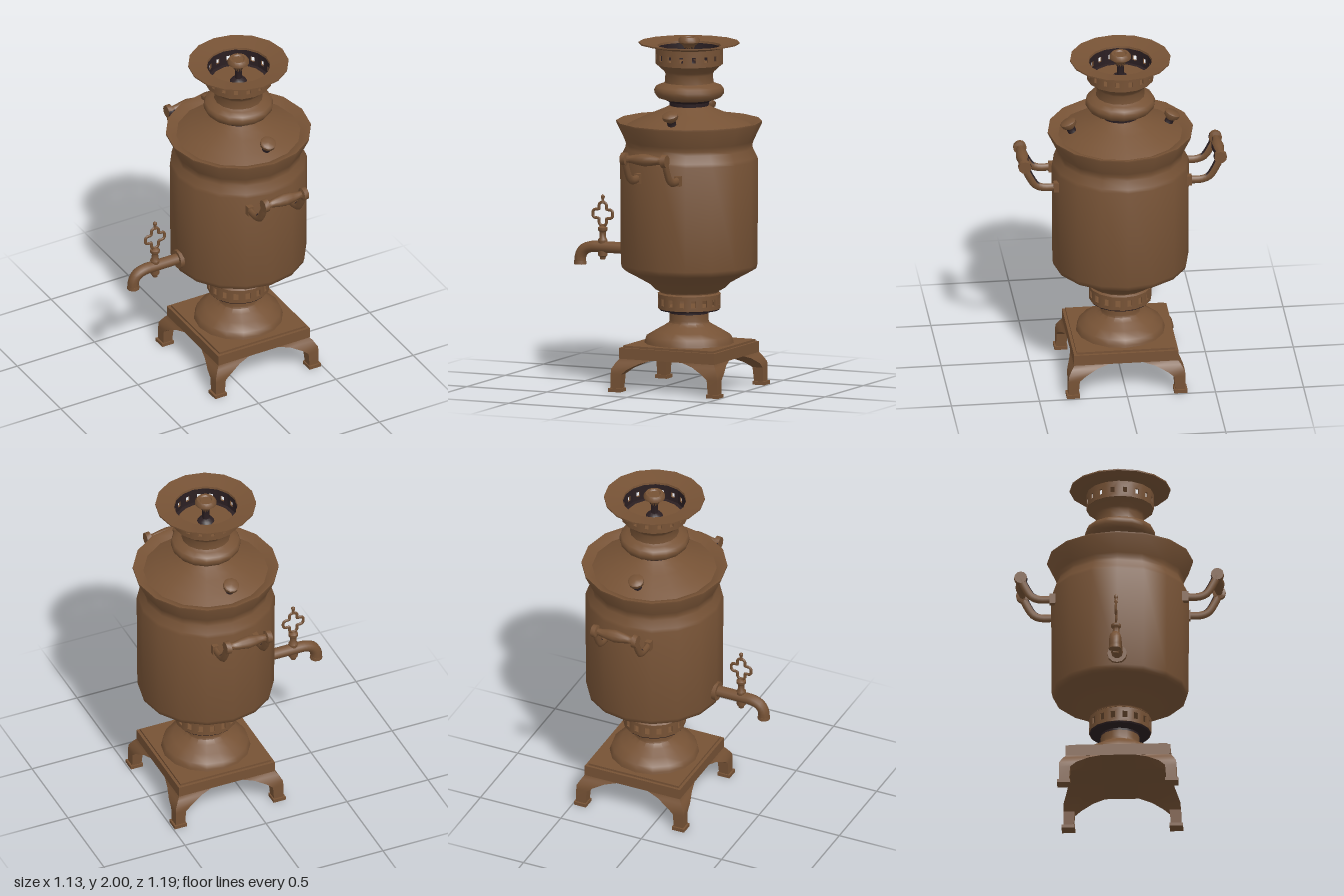
import * as THREE from 'three';
import { toCreasedNormals, mergeGeometries } from 'three/addons/utils/BufferGeometryUtils.js';

const SIDES = 16;
const brass = new THREE.MeshStandardMaterial({ color: 0x765235, side: THREE.DoubleSide });
brass.name = 'brown brass';
const soot = new THREE.MeshStandardMaterial({ color: 0x2b1f22, side: THREE.DoubleSide });
soot.name = 'dark soot';

const V = (x, y, z) => new THREE.Vector3(x, y, z);
const outline2D = pairs => pairs.map(p => new THREE.Vector2(...p));

function part(parent, name, geometry, x = 0, y = 0, z = 0) {
  const mesh = new THREE.Mesh(geometry, geometry.userData.twoTone ? [brass, soot] : brass);
  mesh.name = name;
  mesh.position.set(x, y, z);
  parent.add(mesh);
  return mesh;
}

// Gives the dark colour to every face for which isDark(centre, normal) holds
function twoTone(source, isDark) {
  const g = source.index ? source.toNonIndexed() : source;
  const pos = g.getAttribute('position');
  const tri = new THREE.Triangle(), centre = V(0, 0, 0), normal = V(0, 0, 0);
  g.clearGroups();
  for (let i = 0; i < pos.count; i += 3) {
    tri.setFromAttributeAndIndices(pos, i, i + 1, i + 2);
    const tone = isDark(tri.getMidpoint(centre), tri.getNormal(normal)) ? 1 : 0;
    const last = g.groups[g.groups.length - 1];
    if (last && last.materialIndex === tone) last.count += 3;
    else g.addGroup(i, 3, tone);
  }
  g.userData.twoTone = true;
  return g;
}

// Turned part from [radius, height] pairs, listed bottom to top
function turned(profile, sides = SIDES) {
  return toCreasedNormals(new THREE.LatheGeometry(outline2D(profile), sides), 0.85);
}

// Ring of flat panels, each pierced by a small window
function gallery(radius, bottom, top, winBottom, winTop, winWidth) {
  const half = radius * Math.sin(Math.PI / SIDES), w = winWidth / 2;
  const shape = new THREE.Shape(outline2D([[-half, bottom], [half, bottom], [half, top], [-half, top]]));
  shape.holes.push(new THREE.Path(outline2D([[-w, winBottom], [-w, winTop], [w, winTop], [w, winBottom]])));
  const panels = [];
  for (let i = 0; i < SIDES; i++) {
    const g = new THREE.ExtrudeGeometry(shape, { depth: 0.01, bevelEnabled: false });
    g.translate(0, 0, radius * Math.cos(Math.PI / SIDES) - 0.01);
    g.rotateY((i + 0.5) * 2 * Math.PI / SIDES);
    panels.push(g);
  }
  return toCreasedNormals(mergeGeometries(panels), 0.62);
}

// Corner leg: square sections running from an outer to an inner corner
function legGeometry() {
  const sections = [[0.24, 0.285, 0.09], [0.185, 0.295, 0.095], [0.165, 0.31, 0.165],
    [0.13, 0.33, 0.233], [0.1, 0.332, 0.268], [0.015, 0.332, 0.275]];
  const pos = [], index = [];
  sections.forEach(([y, o, i]) => pos.push(o, y, o, o, y, i, i, y, i, i, y, o));
  for (let s = 0; s < sections.length - 1; s++) {
    for (let k = 0; k < 4; k++) {
      const a = s * 4 + k, b = s * 4 + (k + 1) % 4;
      index.push(a, a + 4, b, b, a + 4, b + 4);
    }
  }
  const g = new THREE.BufferGeometry();
  g.setAttribute('position', new THREE.Float32BufferAttribute(pos, 3));
  g.setIndex(index);
  return toCreasedNormals(g, 0.7);
}

function buildBase(root) {
  const base = new THREE.Group();
  base.name = 'base';
  root.add(base);
  part(base, 'basePlate', new THREE.BoxGeometry(0.592, 0.062, 0.592), 0, 0.216, 0);
  part(base, 'plateTop', new THREE.BoxGeometry(0.56, 0.014, 0.56), 0, 0.252, 0);
  for (let i = 0; i < 4; i++) {
    const leg = new THREE.Group();
    leg.name = 'leg';
    leg.rotation.y = i * Math.PI / 2;
    part(leg, 'legBody', legGeometry());
    part(leg, 'foot', new THREE.BoxGeometry(0.075, 0.02, 0.075), 0.305, 0.01, 0.305);
    base.add(leg);
  }
  const pedestal = turned([[0.255, 0.25], [0.25, 0.27], [0.24, 0.3], [0.19, 0.33], [0.14, 0.358],
    [0.113, 0.375], [0.11, 0.39], [0.11, 0.428], [0.11, 0.44], [0.17, 0.447], [0.175, 0.457], [0, 0.457]]);
  part(base, 'pedestal', twoTone(pedestal, c => c.y > 0.428 && c.y < 0.4565));
  part(base, 'lowerGallery', gallery(0.177, 0.455, 0.542, 0.477, 0.516, 0.028));
}

function buildBody(root) {
  part(root, 'body', turned([[0, 0.54], [0.18, 0.54], [0.168, 0.548], [0.17, 0.555], [0.2, 0.57], [0.235, 0.603],
    [0.3, 0.64], [0.365, 0.675], [0.38, 0.685], [0.386, 0.71], [0.39, 1.305], [0.383, 1.325], [0.36, 1.37],
    [0.357, 1.39], [0.365, 1.415], [0.412, 1.513], [0.412, 1.523], [0.4, 1.523], [0.352, 1.5], [0.285, 1.532],
    [0.2, 1.568], [0.145, 1.592], [0.12, 1.605], [0.11, 1.61]]));
  // Neck, dark where it meets the shoulder and around its inner floor
  const neck = turned([[0.11, 1.605], [0.112, 1.63], [0.14, 1.645], [0.18, 1.658], [0.196, 1.68], [0.198, 1.7],
    [0.188, 1.72], [0.155, 1.732], [0.138, 1.742], [0.134, 1.79], [0.142, 1.805], [0.175, 1.835], [0.188, 1.848],
    [0.158, 1.848], [0, 1.848]]);
  part(root, 'neck', twoTone(neck, c => c.y < 1.645 || (c.y > 1.847 && Math.hypot(c.x, c.z) > 0.15)));
  const crown = gallery(0.19, 1.846, 1.946, 1.873, 1.904, 0.023);
  part(root, 'upperGallery', twoTone(crown, (c, n) => c.x * n.x + c.z * n.z < -0.1));
  part(root, 'topFlange', turned([[0.178, 1.94], [0.19, 1.94], [0.285, 1.962], [0.285, 1.97], [0.18, 1.952], [0.178, 1.94]]));
  const knob = turned([[0.05, 1.846], [0.04, 1.86], [0.02, 1.87], [0.02, 1.92], [0.035, 1.95], [0.061, 1.97],
    [0.061, 1.985], [0.05, 2], [0.036, 2], [0.03, 1.993], [0, 1.993]], 16);
  part(root, 'lidKnob', twoTone(knob, c => c.y < 1.94));
}

// Vent knobs with dark stems lean outwards on the shoulder, front and back
function buildVents(root) {
  const knob = turned([[0.035, 0], [0.025, 0.015], [0.025, 0.045], [0.044, 0.063], [0.046, 0.083], [0.038, 0.09], [0, 0.09]], 12);
  twoTone(knob, c => c.y < 0.05);
  for (const s of [1, -1]) {
    const vent = part(root, 'ventKnob', knob, s * 0.024, 1.515, s * 0.268);
    vent.rotation.x = s * 0.4;
  }
}

// Side handles: two curved arms with a swelling grip, dark on the side facing the body
function buildHandles(root) {
  const grip = turned([[0, -0.14], [0.036, -0.14], [0.038, -0.112], [0.02, -0.107], [0.022, -0.085], [0.03, -0.045],
    [0.036, 0], [0.03, 0.045], [0.022, 0.085], [0.02, 0.107], [0.038, 0.112], [0.036, 0.14], [0, 0.14]], 12);
  grip.rotateZ(Math.PI / 2);
  twoTone(grip, (c, n) => n.z < -0.75);
  const tube = new THREE.TubeGeometry(new THREE.CatmullRomCurve3(
    [V(0, 1.232, 0.37), V(0, 1.232, 0.45), V(0, 1.25, 0.492), V(0, 1.3, 0.525), V(0, 1.36, 0.553)]), 12, 0.024, 8);
  tube.scale(0.68, 1, 1);
  const arm = twoTone(tube, (c, n) => c.z > 0.47 && n.z < -0.3);
  for (const s of [1, -1]) {
    const handle = new THREE.Group();
    handle.name = s > 0 ? 'frontHandle' : 'backHandle';
    handle.scale.z = s;
    handle.position.x = -0.014;
    for (const x of [-0.125, 0.125]) {
      part(handle, 'handleArm', arm, x);
      part(handle, 'armMount', new THREE.BoxGeometry(0.034, 0.058, 0.035), x, 1.232, 0.375);
    }
    part(handle, 'grip', grip, 0, 1.367, 0.555);
    root.add(handle);
  }
}

function buildTap(root) {
  const tap = new THREE.Group();
  tap.name = 'tap';
  root.add(tap);
  const flange = part(tap, 'tapFlange', new THREE.CylinderGeometry(0.055, 0.055, 0.025, 12), -0.388, 0.768);
  flange.rotation.z = Math.PI / 2;
  part(tap, 'tapPipe', new THREE.TubeGeometry(new THREE.CatmullRomCurve3(
    [V(-0.37, 0.77, 0), V(-0.55, 0.77, 0), V(-0.61, 0.768, 0), V(-0.655, 0.75, 0), V(-0.678, 0.715, 0), V(-0.682, 0.665, 0)]), 20, 0.033, 10));
  part(tap, 'spoutLip', toCreasedNormals(new THREE.CylinderGeometry(0.034, 0.036, 0.02, 10), 0.7), -0.681, 0.674);
  part(tap, 'tapValve', turned([[0, 0.7], [0.015, 0.7], [0.018, 0.715], [0.026, 0.72], [0.026, 0.8], [0.028, 0.81],
    [0.02, 0.82], [0.018, 0.855], [0.028, 0.865], [0.028, 0.88], [0.012, 0.89], [0, 0.895]], 10), -0.54);

  // Four-lobed key
  const lobes = [];
  for (let i = 0; i < 32; i++) {
    const a = i * Math.PI / 16, r = 0.052 + 0.014 * Math.cos(4 * a) - 0.004 * Math.cos(8 * a);
    lobes.push(V(r * Math.cos(a), r * Math.sin(a) * 1.06, 0));
  }
  const key = new THREE.TubeGeometry(new THREE.CatmullRomCurve3(lobes, true), 64, 0.009, 6, true);
  key.scale(1, 1, 0.65);
  part(tap, 'tapKey', key, -0.54, 0.958);
  part(tap, 'keyTip', turned([[0.012, 1.02], [0.007, 1.04], [0.012, 1.052], [0.012, 1.06], [0, 1.07]], 8), -0.54);
}

export function createModel() {
  const model = new THREE.Group();
  model.name = 'samovar';
  const urn = new THREE.Group();
  urn.name = 'urn';
  urn.position.x = 0.15;
  model.add(urn);
  buildBase(urn);
  buildBody(urn);
  buildVents(urn);
  buildHandles(urn);
  buildTap(urn);
  return model;
}
